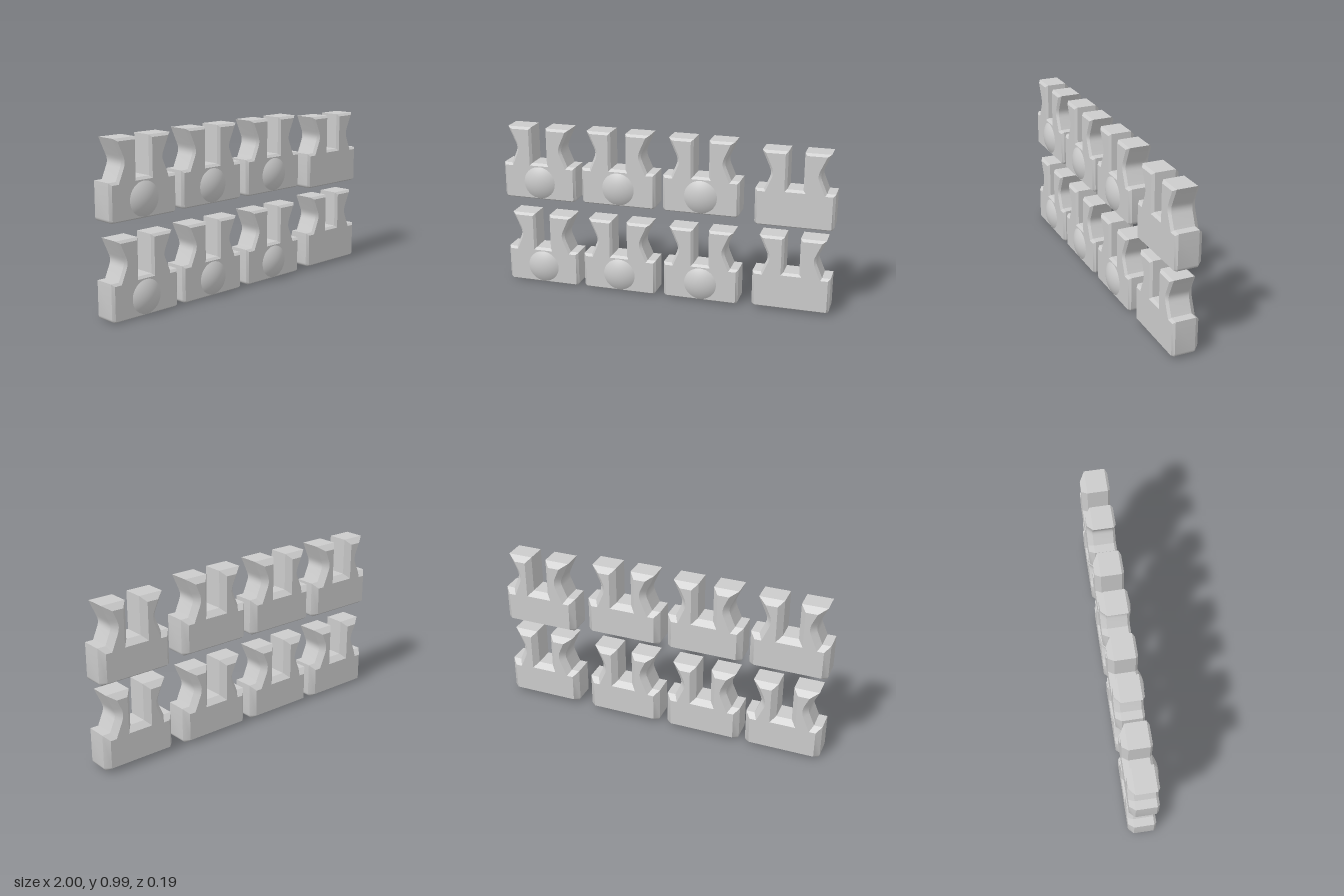
import * as THREE from 'three';
import { toCreasedNormals } from 'three/addons/utils/BufferGeometryUtils.js';

// Right half of the clip outline, from bottom corner up to the slot floor
const HALF = [
  [0.228, 0], [0.228, 0.218], [0.178, 0.218], [0.147, 0.29], [0.142, 0.305],
  [0.141, 0.32], [0.144, 0.335], [0.151, 0.352], [0.193, 0.445],
  [0.046, 0.445], [0.046, 0.225],
];
const OUTLINE = [...HALF, ...HALF.map(([x, y]) => [-x, y]).reverse()]
  .map(([x, y]) => new THREE.Vector2(x, y));

// Outline moved inward by d with mitred corners and rounded bottom corners
function ring(d) {
  const n = OUTLINE.length;
  const pts = OUTLINE.map((p, i) => {
    const e1 = p.clone().sub(OUTLINE[(i + n - 1) % n]).normalize();
    const e2 = OUTLINE[(i + 1) % n].clone().sub(p).normalize();
    const n1 = new THREE.Vector2(-e1.y, e1.x);
    const n2 = new THREE.Vector2(-e2.y, e2.x);
    return n1.clone().add(n2).multiplyScalar(d / (1 + n1.dot(n2))).add(p);
  });
  const half = pts[0].x, base = 0.65 * d, r = Math.max(0.022 - d, 0.004);
  const corner = (side) => [0, 1, 2, 3, 4].map((k) => {
    const a = (k / 4) * Math.PI / 2;
    return new THREE.Vector2(side * (half - r + r * Math.sin(a)), base + r - r * Math.cos(a));
  });
  return [...corner(1), ...pts.slice(1, -1), ...corner(-1).reverse()];
}

// Body lofted from back to front, with a wide back chamfer and a small front one
function bodyGeometry() {
  const levels = [[-0.097, 0.031], [-0.065, 0], [0.054, 0], [0.068, 0.014]];
  const rings = levels.map(([, d]) => ring(d));
  const n = rings[0].length;
  const pos = [], index = [];
  rings.forEach((pts, k) => pts.forEach((p) => pos.push(p.x, p.y, levels[k][0])));
  for (let k = 0; k < rings.length - 1; k++) {
    for (let i = 0; i < n; i++) {
      const a = k * n + i, b = k * n + (i + 1) % n;
      index.push(a, b, b + n, a, b + n, a + n);
    }
  }
  const last = (rings.length - 1) * n;
  for (const [a, b, c] of THREE.ShapeUtils.triangulateShape(rings[0], [])) index.push(c, b, a);
  for (const [a, b, c] of THREE.ShapeUtils.triangulateShape(rings[3], [])) {
    index.push(last + a, last + b, last + c);
  }
  const geo = new THREE.BufferGeometry();
  geo.setAttribute('position', new THREE.Float32BufferAttribute(pos, 3));
  geo.setIndex(index);
  return toCreasedNormals(geo, 0.5);
}

// Shallow spherical cap facing the front
function domeGeometry(radius, height) {
  const R = (radius * radius + height * height) / (2 * height);
  const geo = new THREE.SphereGeometry(R, 40, 10, 0, Math.PI * 2, 0, Math.asin(radius / R));
  return geo.translate(0, height - R, 0).rotateX(Math.PI / 2);
}

export function createModel() {
  const model = new THREE.Group();
  model.name = 'clipSet';
  const material = new THREE.MeshStandardMaterial({ color: 0xcccccc });
  const body = bodyGeometry();
  const dome = domeGeometry(0.098, 0.029);

  // Clip positions (x, base y); the last clip of each row has no button
  const rows = {
    lower: [[-0.769, 0], [-0.274, 0.003], [0.232, 0.005], [0.771, 0.013]],
    upper: [[-0.772, 0.543], [-0.274, 0.548], [0.228, 0.548], [0.772, 0.521]],
  };
  for (const [row, clips] of Object.entries(rows)) {
    clips.forEach(([x, y], i) => {
      const clip = new THREE.Group();
      clip.name = `${row}Clip${i + 1}`;
      clip.position.set(x, y, 0);
      const block = new THREE.Mesh(body, material);
      block.name = 'forkedBody';
      clip.add(block);
      if (i < 3) {
        const button = new THREE.Mesh(dome, material);
        button.name = 'roundButton';
        button.position.set(0, 0.107, 0.068);
        clip.add(button);
      }
      model.add(clip);
    });
  }
  return model;
}
